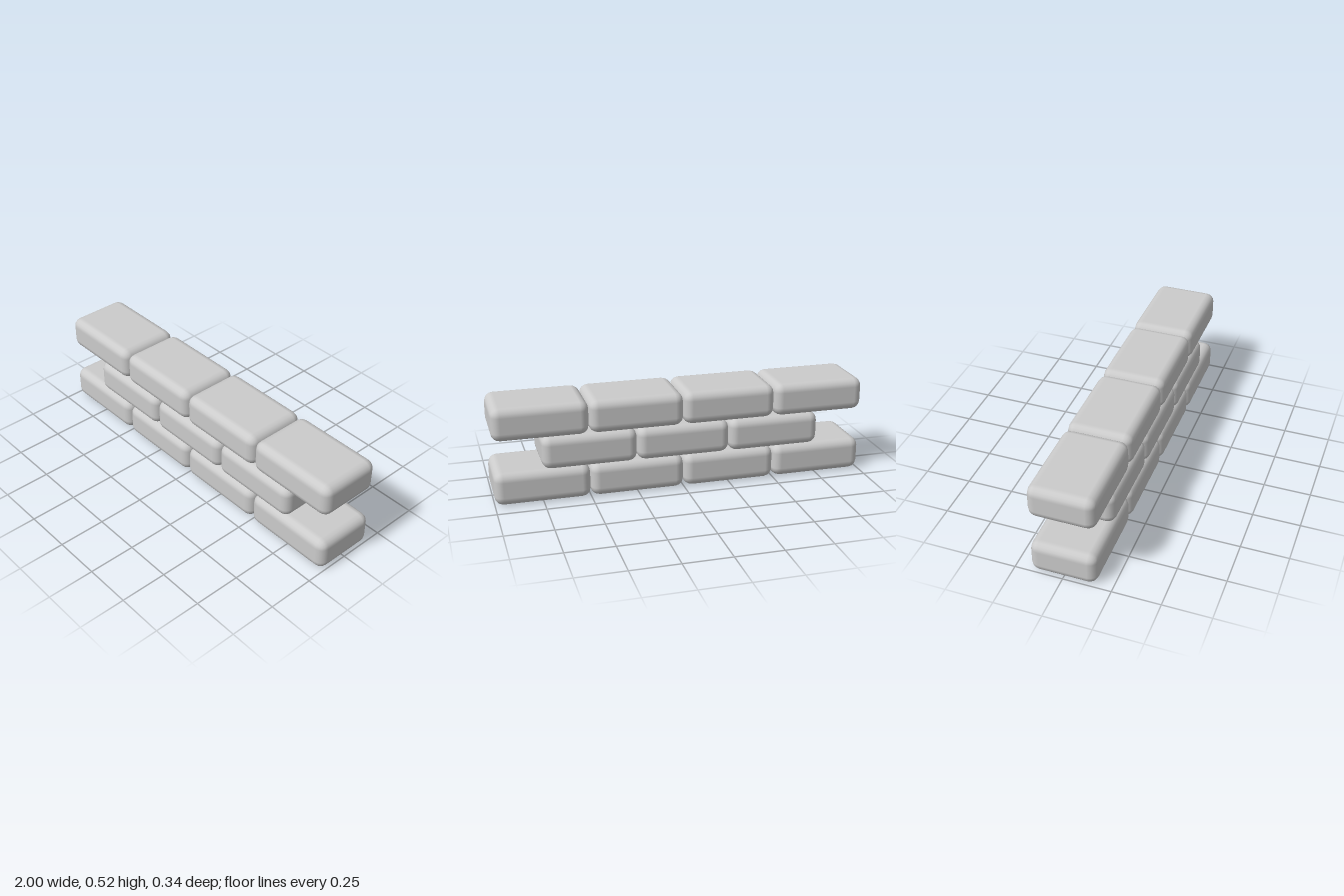
import * as THREE from 'three';
import { RoundedBoxGeometry } from 'three/addons/geometries/RoundedBoxGeometry.js';

const WIDTH = 0.5, HEIGHT = 0.178, DEPTH = 0.345, BEVEL = 0.047;
const ROW_STEP = 0.173; // courses sink slightly into each other

export function createModel() {
  const wall = new THREE.Group();
  wall.name = 'brickWall';
  const material = new THREE.MeshStandardMaterial({ color: 0xcccccc });
  const brickGeometry = new RoundedBoxGeometry(WIDTH, HEIGHT, DEPTH, 2, BEVEL);

  // Three courses in running bond: the middle one is a brick shorter
  const courses = [['bottomCourse', 4], ['middleCourse', 3], ['topCourse', 4]];
  courses.forEach(([name, count], row) => {
    const course = new THREE.Group();
    course.name = name;
    course.position.y = HEIGHT / 2 + row * ROW_STEP;
    for (let i = 0; i < count; i++) {
      const brick = new THREE.Mesh(brickGeometry, material);
      brick.name = `brick${i + 1}`;
      brick.position.x = (i - (count - 1) / 2) * WIDTH;
      course.add(brick);
    }
    wall.add(course);
  });
  return wall;
}
